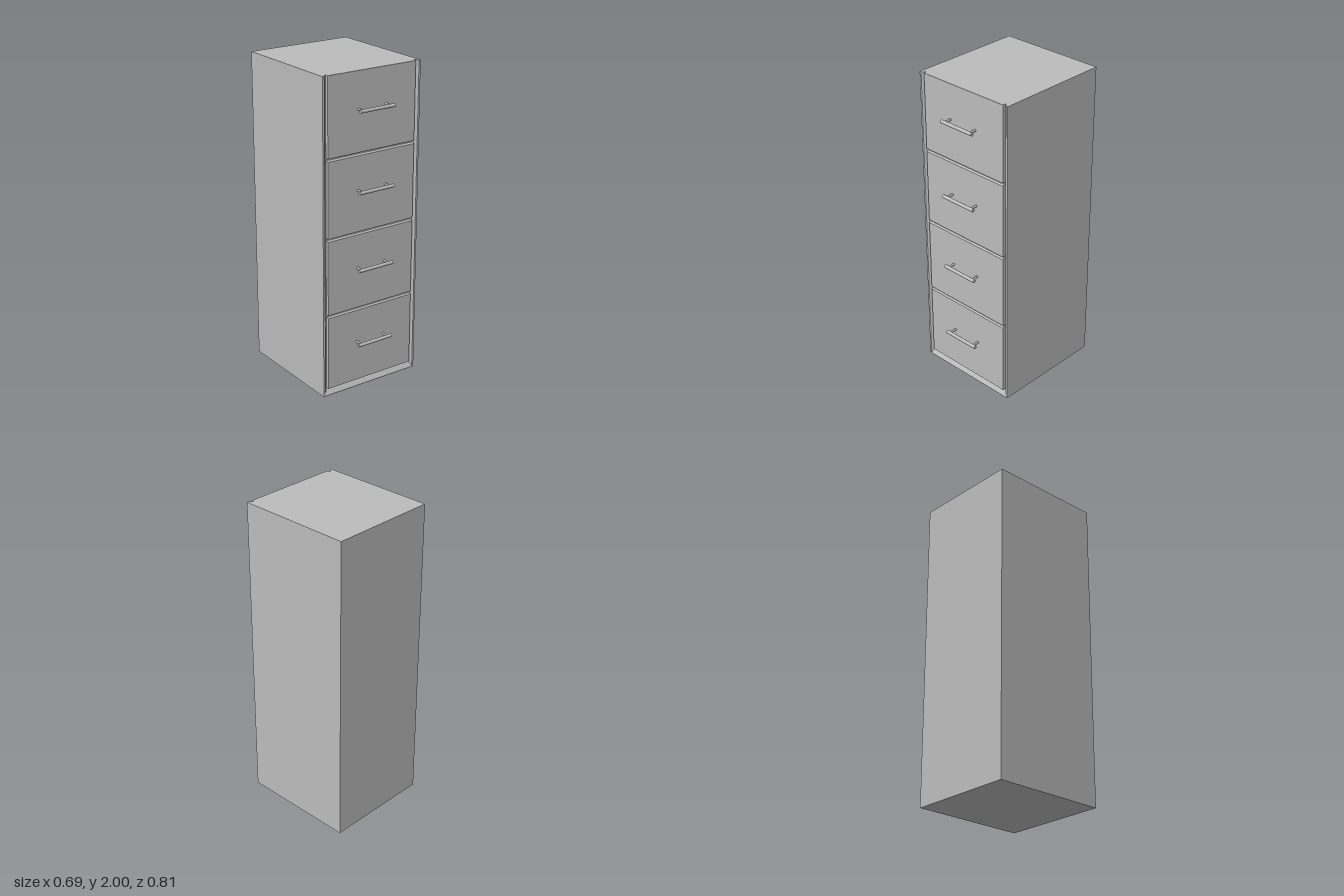
import * as THREE from 'three';

const W = 0.347, H = 2, BACK = -0.405, FRONT = 0.343, RECESS = 0.322;

const shapeOf = (pts) => new THREE.Shape(pts.map(([a, b]) => new THREE.Vector2(a, b)));
const extrude = (pts, depth) =>
  new THREE.ExtrudeGeometry(shapeOf(pts), { depth, bevelEnabled: false });

// [x, z] section run upward along y
const runUp = (pts, height) =>
  extrude(pts.map(([x, z]) => [x, -z]), height).rotateX(-Math.PI / 2);

// [z, y] section run across x, centred
const runAcross = (pts, width) =>
  extrude(pts.map(([z, y]) => [-z, y]), width).rotateY(Math.PI / 2).translate(-width / 2, 0, 0);

export function createModel() {
  const model = new THREE.Group();
  model.name = 'filingCabinet';
  const steel = new THREE.MeshStandardMaterial({ color: 0xbcbcbc });
  steel.name = 'greySteel';

  const add = (parent, name, geometry, x = 0, y = 0, z = 0) => {
    const mesh = new THREE.Mesh(geometry, steel);
    mesh.name = name;
    mesh.position.set(x, y, z);
    parent.add(mesh);
    return mesh;
  };

  // Cabinet shell up to the recessed front
  add(model, 'cabinetBody', new THREE.BoxGeometry(2 * W, H, RECESS - BACK),
    0, H / 2, (RECESS + BACK) / 2);

  // Frame edges, sloping in toward the drawers
  for (const s of [1, -1]) {
    add(model, s > 0 ? 'leftFrame' : 'rightFrame', runUp([
      [s * W, RECESS], [s * W, FRONT], [s * 0.335, FRONT], [s * 0.317, RECESS],
    ], H));
  }
  add(model, 'bottomFrame', runAcross([
    [RECESS, 0], [FRONT, 0], [FRONT, 0.008], [RECESS, 0.043],
  ], 2 * W));

  // Four drawers with a chamfered upper edge and a bar handle
  for (let i = 0; i < 4; i++) {
    const drawer = new THREE.Group();
    drawer.name = `drawer${i + 1}`;
    drawer.position.y = 0.045 + 0.49 * i;
    model.add(drawer);

    const h = i === 3 ? 0.485 : 0.48;
    const chamfer = i === 3 ? 0.001 : 0.009;
    add(drawer, 'drawerFront', runAcross([
      [RECESS, 0], [FRONT - 0.001, 0], [FRONT - 0.001, h - chamfer],
      [FRONT - 0.001 - chamfer, h], [RECESS, h],
    ], 0.624));

    const bar = new THREE.CylinderGeometry(0.011, 0.011, 0.248, 16).rotateZ(Math.PI / 2);
    add(drawer, 'handleBar', bar, 0, 0.26, 0.394);
    for (const x of [-0.1, 0.098]) {
      const post = new THREE.CylinderGeometry(0.007, 0.007, 0.056, 12).rotateX(Math.PI / 2);
      add(drawer, 'handlePost', post, x, 0.26, 0.364);
    }
  }
  return model;
}
